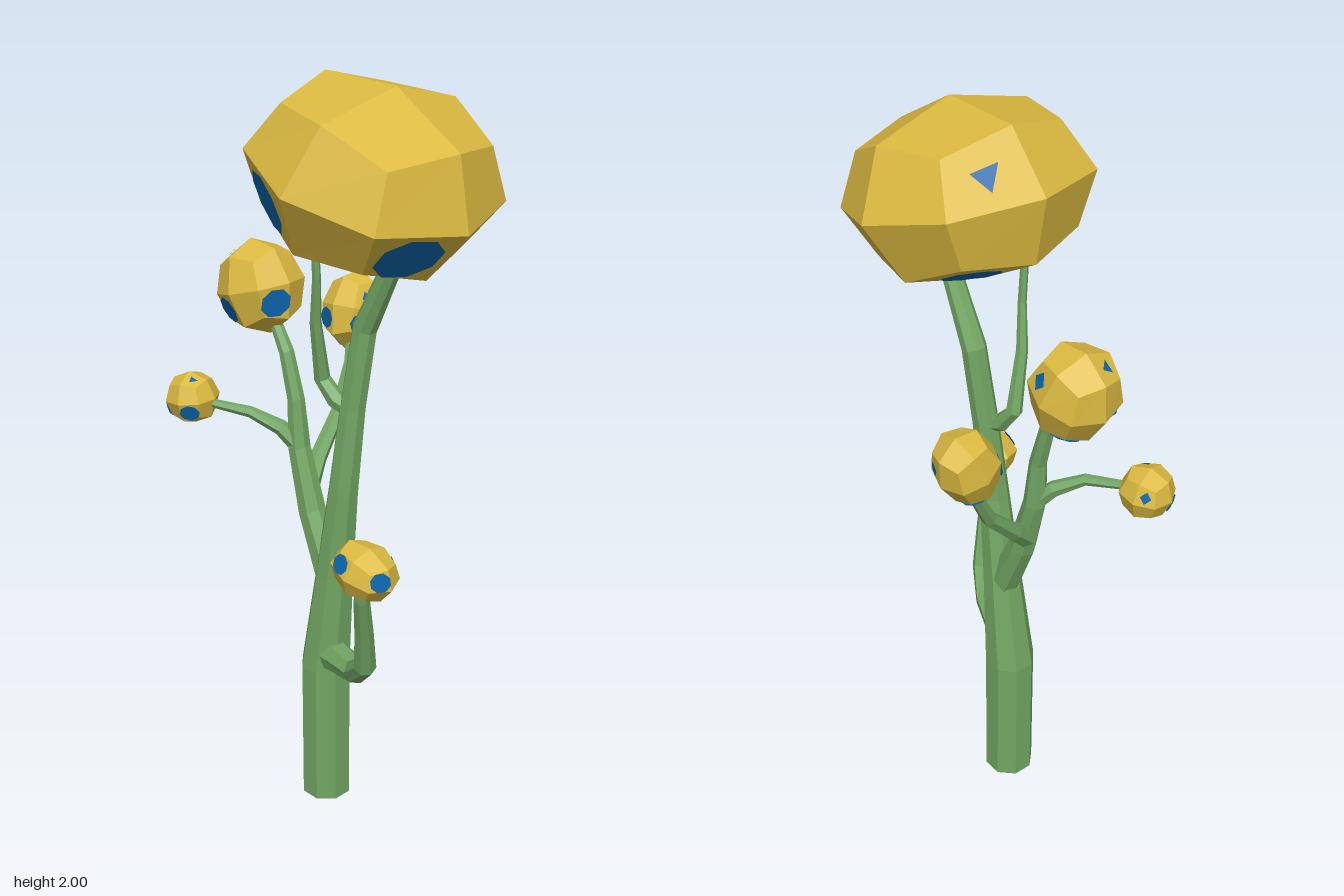
import * as THREE from 'three';

const yellow = new THREE.MeshStandardMaterial({ color: 0xdbb940, flatShading: true });
yellow.name = 'capYellow';
const green = new THREE.MeshStandardMaterial({ color: 0x72a663, flatShading: true });
green.name = 'stemGreen';
const blue = new THREE.MeshStandardMaterial({ color: 0x0b65ab, flatShading: true, side: THREE.DoubleSide });
blue.name = 'spotBlue';

// Faceted stem lofted through points [x, y, z, radius]
function stem(name, points, sides) {
  const path = points.map(p => new THREE.Vector3(p[0], p[1], p[2]));
  const pos = [], index = [];
  const up = new THREE.Vector3(0, 1, 0), n = points.length;
  path.forEach((c, i) => {
    const dir = path[Math.min(i + 1, n - 1)].clone().sub(path[Math.max(i - 1, 0)]).normalize();
    if (points[i][4]) dir.copy(up); // level ring
    const q = new THREE.Quaternion().setFromUnitVectors(up, dir);
    for (let k = 0; k < sides; k++) {
      const a = ((k + 0.5) / sides) * Math.PI * 2, r = points[i][3];
      const v = new THREE.Vector3(Math.sin(a) * r, 0, Math.cos(a) * r).applyQuaternion(q).add(c);
      pos.push(v.x, v.y, v.z);
    }
  });
  for (let i = 0; i < n - 1; i++) {
    for (let k = 0; k < sides; k++) {
      const a = i * sides + k, b = i * sides + (k + 1) % sides;
      index.push(a, b, b + sides, a, b + sides, a + sides);
    }
  }
  // End faces
  const last = (n - 1) * sides;
  for (let k = 1; k < sides - 1; k++) {
    index.push(0, k + 1, k, last, last + k, last + k + 1);
  }
  const g = new THREE.BufferGeometry();
  g.setAttribute('position', new THREE.Float32BufferAttribute(pos, 3));
  g.setIndex(index);
  const flat = g.toNonIndexed();
  flat.computeVertexNormals();
  const mesh = new THREE.Mesh(flat, green);
  mesh.name = name;
  return mesh;
}

// Each spot: dominant axis, then the signs that pick one facet
const SPOTS = [['z', -1, -1, 1], ['x', 1, -1, 1], ['y', -1, -1, -1]];

// 24-facet ellipsoid cap with thin spots on some facets
function cap(name, center, radii, tilt, spots, spotSize) {
  const group = new THREE.Group();
  group.name = name;
  const g = new THREE.BoxGeometry(2, 2, 2, 2, 2, 2).toNonIndexed();
  const p = g.attributes.position;
  const reach = [0, 1, 0.73, 0.577];
  for (let i = 0; i < p.count; i++) {
    const v = [p.getX(i), p.getY(i), p.getZ(i)].map(Math.round);
    const s = reach[v.filter(c => c !== 0).length];
    p.setXYZ(i, v[0] * s, v[1] * s, v[2] * s);
  }
  g.scale(...radii);
  g.computeVertexNormals();
  const body = new THREE.Mesh(g, yellow);
  body.name = name + 'Body';
  group.add(body);

  const R = new THREE.Vector3(...radii);
  const size = Math.cbrt(radii[0] * radii[1] * radii[2]) * spotSize;
  for (const [axis, sx, sy, sz, scale = 1, sides = 8] of spots) {
    const sign = new THREE.Vector3(sx, sy, sz);
    const at = new THREE.Vector3(0.327, 0.327, 0.327);
    const normal = new THREE.Vector3(0.37, 0.37, 0.37);
    at[axis] = 0.76;
    normal[axis] = 1;
    at.multiply(sign).multiply(R);
    normal.multiply(sign).divide(R).normalize();
    const spot = new THREE.Mesh(new THREE.CircleGeometry(size * scale, sides), blue);
    spot.name = 'spot';
    spot.scale.set(1.08, 0.95, 1);
    spot.quaternion.setFromUnitVectors(new THREE.Vector3(0, 0, 1), normal);
    spot.position.copy(at).addScaledVector(normal, 0.004);
    group.add(spot);
  }
  group.position.set(...center);
  group.rotation.set(...tilt);
  return group;
}

export function createModel() {
  const model = new THREE.Group();
  model.name = 'branchingMushroom';

  // Trunk and branches
  model.add(
    stem('trunk', [
      [-0.02, 0, 0.035, 0.069, 1], [-0.02, 0.41, 0.035, 0.069, 1], [0.012, 0.7, 0.032, 0.052],
      [0.042, 0.95, 0.03, 0.04], [0.06, 1.18, 0.015, 0.034], [0.085, 1.39, 0, 0.032],
      [0.17, 1.56, 0, 0.026], [0.21, 1.66, 0, 0.022]], 8),
    stem('rightBranch', [
      [0.01, 0.66, 0.03, 0.045], [-0.075, 0.85, 0.03, 0.037], [-0.122, 1.02, 0.03, 0.03],
      [-0.132, 1.15, 0.03, 0.023], [-0.165, 1.27, 0.03, 0.02], [-0.21, 1.35, 0.03, 0.016]], 7),
    stem('frontRightTwig', [
      [-0.12, 1.02, 0.03, 0.025], [-0.16, 1.07, 0.06, 0.021], [-0.22, 1.11, 0.11, 0.015],
      [-0.33, 1.125, 0.17, 0.011]], 6),
    stem('backTwig', [
      [-0.1, 0.9, 0.02, 0.03], [-0.125, 0.96, -0.04, 0.024], [-0.145, 1.06, -0.135, 0.02],
      [-0.165, 1.18, -0.2, 0.016], [-0.185, 1.25, -0.225, 0.013]], 6),
    stem('upperTwig', [
      [0.06, 1.17, 0.02, 0.022], [0.015, 1.19, 0.03, 0.024], [-0.024, 1.24, 0.04, 0.021],
      [-0.01, 1.4, 0.075, 0.015], [0.01, 1.52, 0.09, 0.011], [0.012, 1.66, 0.1, 0.01]], 6),
    stem('leftBranch', [
      [-0.01, 0.45, 0.04, 0.048], [0.06, 0.465, 0.06, 0.042], [0.15, 0.48, 0.09, 0.035],
      [0.215, 0.54, 0.125, 0.03], [0.24, 0.66, 0.155, 0.025], [0.265, 0.78, 0.19, 0.021],
      [0.285, 0.86, 0.2, 0.017]], 7)
  );

  // Caps
  model.add(
    cap('mainCap', [0.145, 1.785, 0.03], [0.3, 0.22, 0.3], [0, 0, -0.29],
      [...SPOTS, ['x', -1, 1, -1, 0.5, 3]], 0.29),
    cap('rightCap', [-0.258, 1.425, 0.03], [0.113, 0.124, 0.11], [0, 0, 0.28],
      [...SPOTS, ['y', -1, 1, 1, 0.5, 3], ['z', 1, 1, -1, 0.6, 4]], 0.34),
    cap('backCap', [-0.205, 1.308, -0.25], [0.08, 0.108, 0.08], [-0.38, 0, 0.1],
      [...SPOTS, ['x', 1, 1, 1, 0.5, 3], ['z', 1, 1, -1, 0.6, 4]], 0.34),
    cap('frontRightCap', [-0.367, 1.13, 0.18], [0.07, 0.07, 0.07], [0, 0.3, 0.1],
      [['z', 1, -1, 1], ['x', -1, -1, 1], ['y', 1, 1, 1, 0.5, 3], ['z', -1, 1, -1, 0.6, 4]], 0.36),
    cap('leftCap', [0.286, 0.873, 0.2], [0.092, 0.067, 0.074], [0, 0, -0.25],
      [['z', -1, 1, 1], ['x', 1, 1, 1], ['y', -1, -1, -1], ['z', 1, 1, -1, 0.6, 4]], 0.34)
  );
  return model;
}
